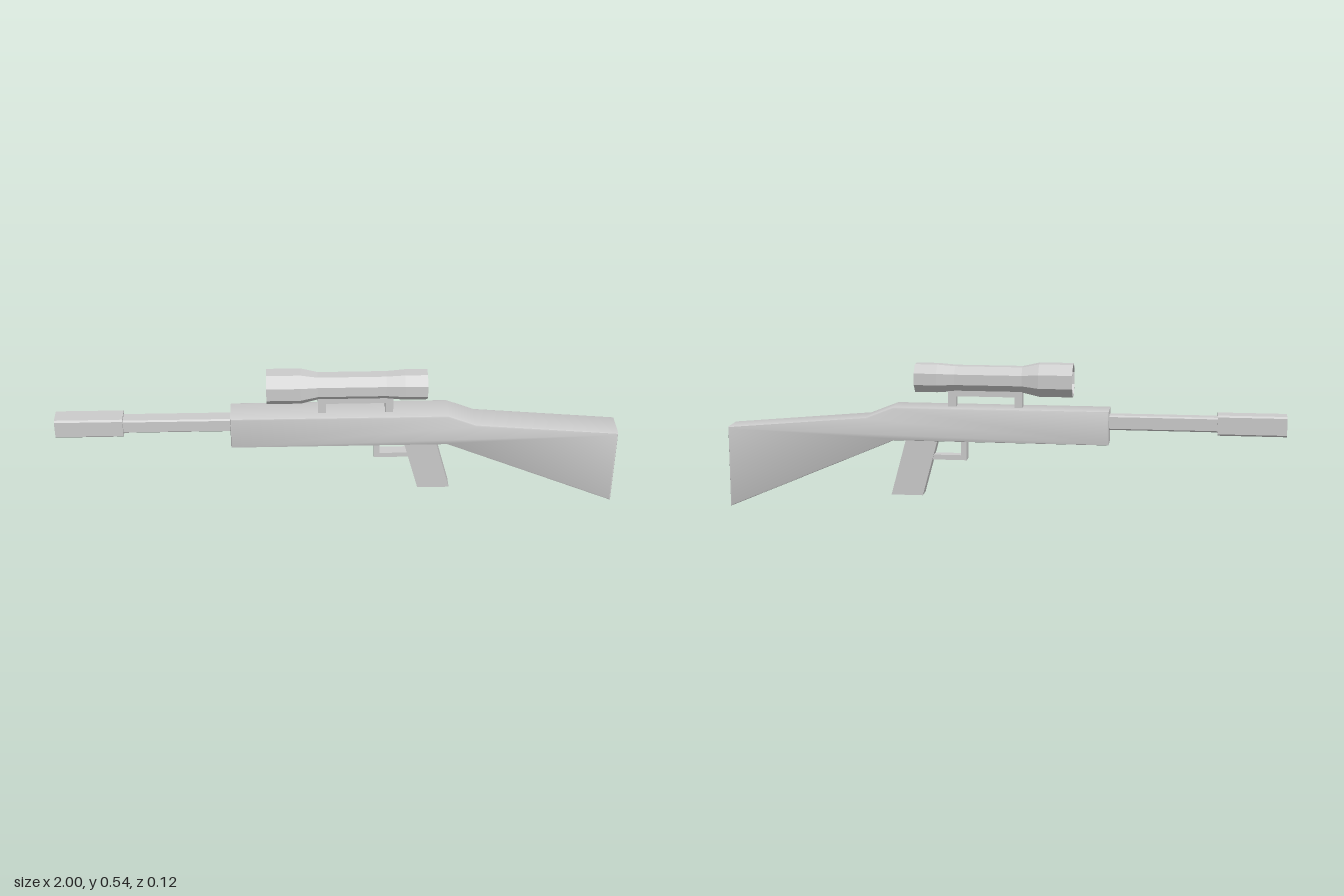
import * as THREE from 'three';
import { toCreasedNormals } from 'three/addons/utils/BufferGeometryUtils.js';

const smooth = new THREE.MeshStandardMaterial({ color: 0xcccccc });
const faceted = new THREE.MeshStandardMaterial({ color: 0xcccccc, flatShading: true });

const shapeOf = (pts) => new THREE.Shape(pts.map(([x, y]) => new THREE.Vector2(x, y)));

// Side profile extruded across z, centred, with an optional small bevel kept inside the outline
function slab(name, pts, halfWidth, bevel = 0) {
  const geo = new THREE.ExtrudeGeometry(shapeOf(pts), {
    depth: 2 * (halfWidth - bevel),
    bevelEnabled: bevel > 0,
    bevelThickness: bevel,
    bevelSize: bevel,
    bevelOffset: -bevel,
    bevelSegments: 2,
  });
  geo.translate(0, 0, bevel - halfWidth);
  const mesh = new THREE.Mesh(toCreasedNormals(geo, 0.6), bevel ? smooth : faceted);
  mesh.name = name;
  return mesh;
}

const rect = (x0, x1, y0, y1) => [[x0, y0], [x1, y0], [x1, y1], [x0, y1]];

// Square bar along x with chamfered long edges and an optional square bore
function bar(name, x0, x1, y, half, chamfer, bore = 0) {
  const h = half, c = half - chamfer;
  const shape = shapeOf([[-c, -h], [c, -h], [h, -c], [h, c], [c, h], [-c, h], [-h, c], [-h, -c]]);
  if (bore) {
    shape.holes.push(shapeOf([[-bore, -bore], [-bore, bore], [bore, bore], [bore, -bore]]));
  }
  const geo = new THREE.ExtrudeGeometry(shape, { depth: x1 - x0, bevelEnabled: false });
  geo.rotateY(Math.PI / 2).translate(x0, y, 0);
  const mesh = new THREE.Mesh(geo, faceted);
  mesh.name = name;
  return mesh;
}

export function createModel() {
  const model = new THREE.Group();

  // Receiver and stock in one bevelled piece
  model.add(slab('receiverAndStock', [
    [-0.38, 0.26], [0.39, 0.26], [1, 0], [1, 0.296],
    [0.49, 0.342], [0.39, 0.382], [-0.38, 0.382],
  ], 0.055, 0.006));

  // Barrel and hollow muzzle
  model.add(bar('barrel', -0.78, -0.36, 0.337, 0.026, 0.005));
  model.add(bar('muzzle', -1, -0.76, 0.337, 0.036, 0.006, 0.018));

  // Grip and trigger guard
  model.add(slab('grip', [[0.29, 0.055], [0.405, 0.055], [0.347, 0.27], [0.232, 0.27]], 0.028));
  model.add(slab('triggerGuard', [
    [0.13, 0.187], [0.265, 0.187], [0.265, 0.205], [0.15, 0.205], [0.15, 0.27], [0.13, 0.27],
  ], 0.02));

  // Scope mount: two feet joined by a rail
  const mount = new THREE.Group();
  mount.name = 'scopeMount';
  mount.add(slab('frontFoot', rect(-0.07, -0.042, 0.37, 0.42), 0.021));
  mount.add(slab('rearFoot', rect(0.168, 0.196, 0.37, 0.42), 0.021));
  mount.add(slab('rail', rect(-0.07, 0.196, 0.42, 0.45), 0.021));
  model.add(mount);

  // Octagonal scope tube with a shallow recess at each end: [flat-side radius, x]
  const k = 1 / Math.cos(Math.PI / 8);
  const profile = [
    [0, -0.238], [0.051, -0.238], [0.053, -0.25], [0.058, -0.25], [0.058, -0.13],
    [0.045, -0.07], [0.045, 0.17], [0.05, 0.235], [0.05, 0.315],
    [0.046, 0.315], [0.045, 0.303], [0, 0.303],
  ].map(([r, x]) => new THREE.Vector2(r * k, x));
  const tube = new THREE.LatheGeometry(profile, 8, Math.PI / 8);
  tube.rotateZ(-Math.PI / 2).translate(0, 0.483, 0);
  const scope = new THREE.Mesh(tube, faceted);
  scope.name = 'scope';
  model.add(scope);

  return model;
}
